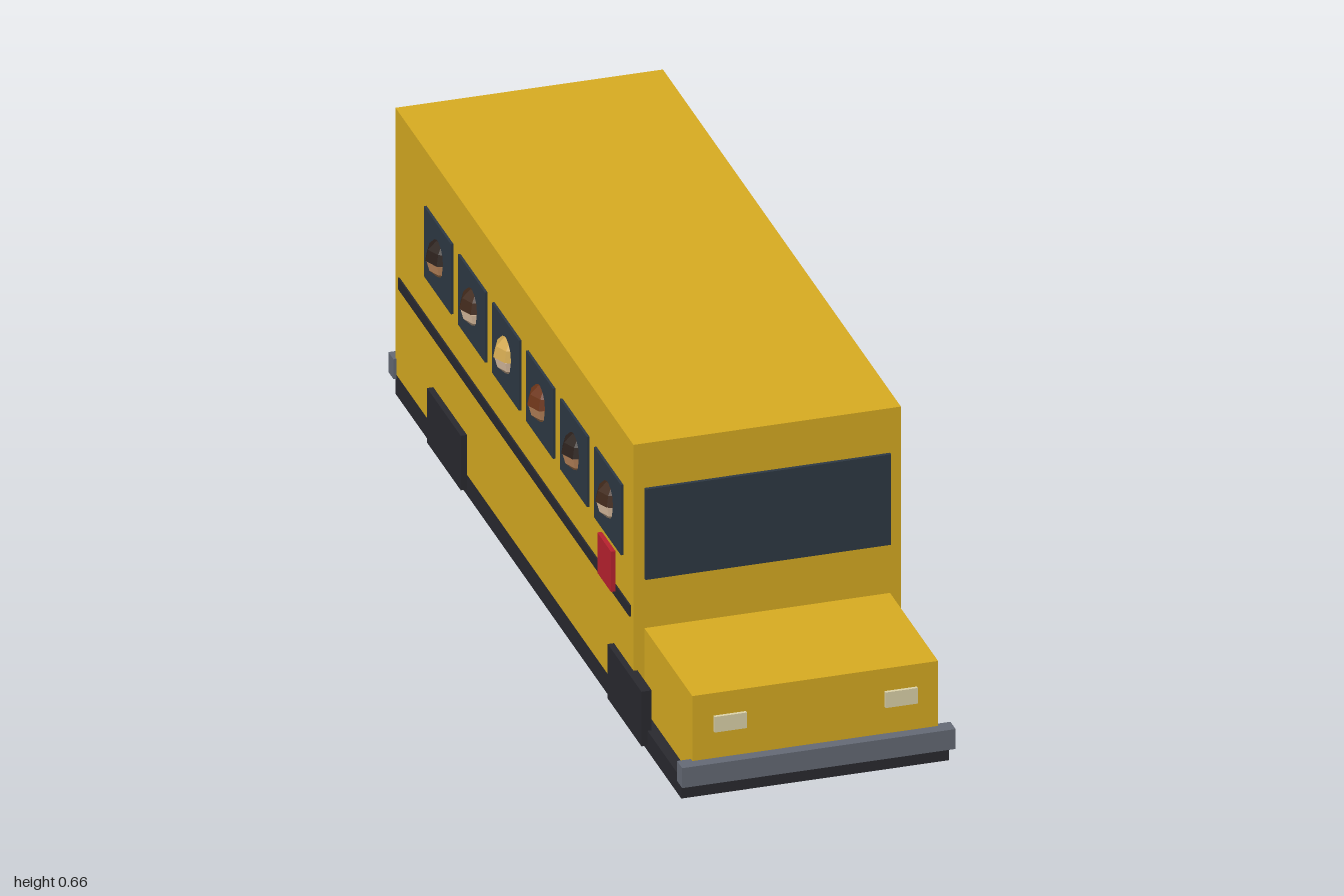
import * as THREE from 'three';

export function createModel() {
  const model = new THREE.Group();
  model.name = 'schoolBus';
  const mat = (color) => new THREE.MeshStandardMaterial({ color, flatShading: true });
  const yellow = mat(0xdaae22), dark = mat(0x2a2a30), glass = mat(0x2f3a45);
  const steel = mat(0x666b77), red = mat(0xbb2230), lamp = mat(0xe0d6ac);
  const cx = 0.0015; // centre line of the body

  // Box given by its extents on each axis
  const box = (name, m, [x0, x1], [y0, y1], [z0, z1], parent = model) => {
    const mesh = new THREE.Mesh(new THREE.BoxGeometry(x1 - x0, y1 - y0, z1 - z0), m);
    mesh.position.set((x0 + x1) / 2 + cx, (y0 + y1) / 2, (z0 + z1) / 2);
    mesh.name = name;
    parent.add(mesh);
    return mesh;
  };
  // Extents along x on one side of the bus
  const sideX = (s, a, b) => (s > 0 ? [a, b] : [-b, -a]);

  // Body, hood and chassis
  box('chassis', dark, [-0.29, 0.29], [0, 0.046], [-0.972, 0.975]);
  box('body', yellow, [-0.2895, 0.2895], [0.046, 0.66], [-0.972, 0.648]);
  box('hood', yellow, [-0.266, 0.266], [0.046, 0.233], [0.648, 0.975]);

  // Front and rear glass
  box('windshield', glass, [-0.266, 0.266], [0.348, 0.557], [0.64, 0.656]);
  box('rearWindow', glass, [-0.245, 0.245], [0.365, 0.545], [-0.978, -0.965]);

  // Bumpers
  box('frontBumper', steel, [-0.296, 0.296], [0.037, 0.083], [0.965, 1]);
  box('rearBumper', steel, [-0.296, 0.296], [0.037, 0.083], [-1, -0.965]);

  // Passenger colours, front to back: [hair, skin]
  const auburn = 0x6b3418, blond = 0xcfa650, black = 0x2b201c, brown = 0x3f281a;
  const pale = 0xe6c8a8, tan = 0xc08a5e;
  const passengers = {
    left: [[auburn, tan], [blond, tan], [black, pale], [black, pale], [auburn, tan], [blond, tan]],
    right: [[brown, pale], [black, tan], [auburn, tan], [blond, pale], [brown, pale], [black, tan]],
  };
  const skinGeo = new THREE.SphereGeometry(0.045, 8, 6);
  const hairGeo = new THREE.SphereGeometry(0.048, 8, 3, 0, Math.PI * 2, 0, Math.PI / 2);

  for (const s of [1, -1]) {
    const side = new THREE.Group();
    const label = s > 0 ? 'left' : 'right';
    side.name = label + 'Side';
    model.add(side);

    // Stripe, lights and square wheels
    box('stripe', dark, sideX(s, 0.28, 0.293), [0.255, 0.281], [-0.945, 0.63], side);
    box('headlight', lamp, sideX(s, 0.15, 0.22), [0.145, 0.181], [0.965, 0.982], side);
    box('tailLight', red, sideX(s, 0.15, 0.22), [0.147, 0.183], [-0.98, -0.965], side);
    for (const z of [0.63, -0.6]) {
      box('wheel', dark, sideX(s, 0.281, 0.303), [0.012, 0.138], [z - 0.115, z + 0.115], side);
    }

    // Windows, each with a passenger's head looking out
    passengers[label].forEach(([hair, skin], i) => {
      const z = 0.488 - i * 0.2315;
      box('sideWindow', glass, sideX(s, 0.28, 0.295), [0.373, 0.535], [z - 0.092, z + 0.092], side);
      const head = new THREE.Group();
      head.name = 'passengerHead';
      const face = new THREE.Mesh(skinGeo, mat(skin));
      face.name = 'face';
      const cap = new THREE.Mesh(hairGeo, mat(hair));
      cap.name = 'hair';
      cap.material.side = THREE.DoubleSide;
      cap.position.y = 0.002;
      head.add(face, cap);
      head.position.set(s * 0.2735 + cx, 0.455, z);
      side.add(head);
    });
  }

  // Stop board on the right side
  box('stopBoard', red, [-0.323, -0.313], [0.302, 0.395], [0.507, 0.6]);

  return model;
}
